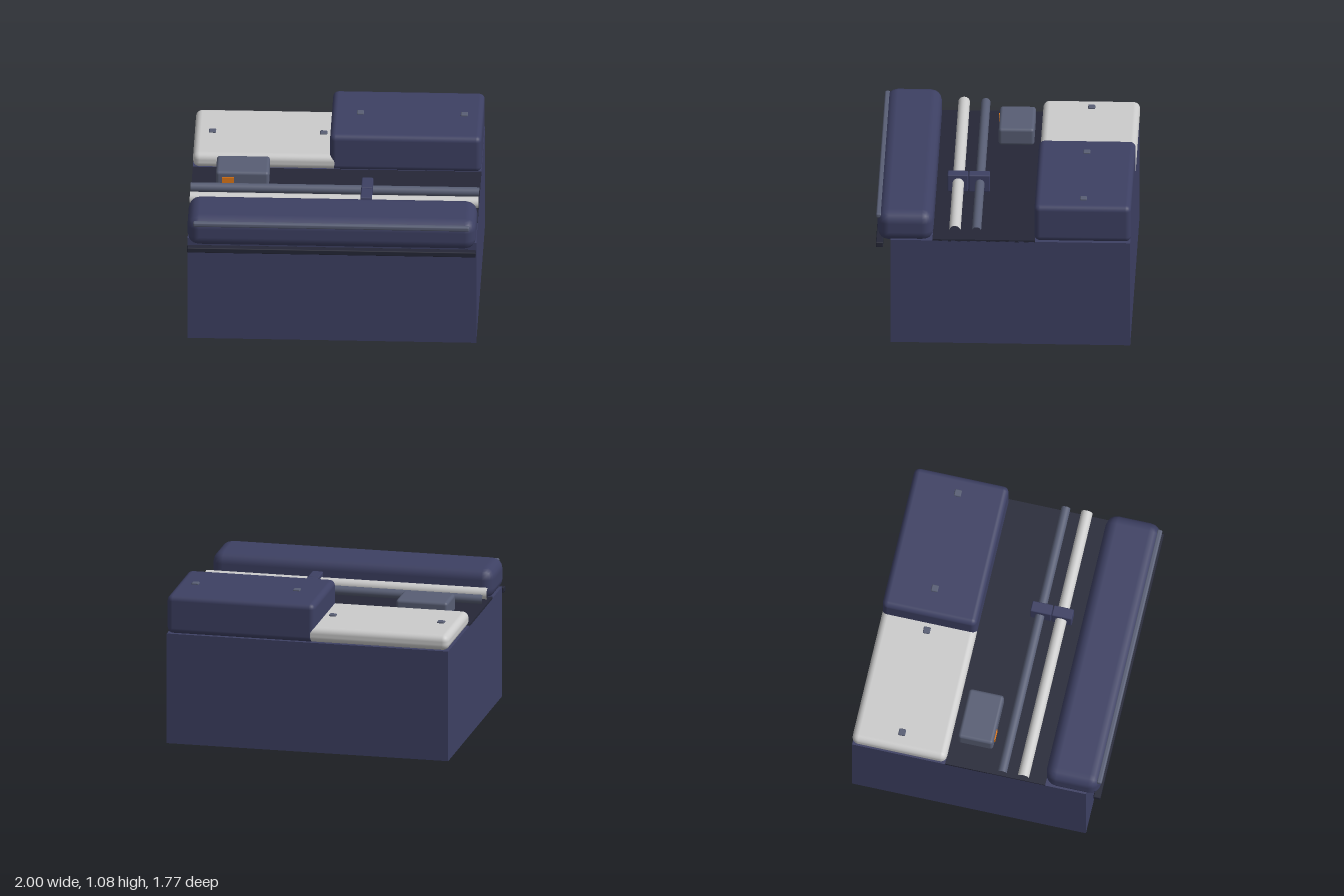
import * as THREE from 'three';
import { RoundedBoxGeometry } from 'three/addons/geometries/RoundedBoxGeometry.js';

const material = (color) => new THREE.MeshStandardMaterial({ color });

export function createModel() {
  const model = new THREE.Group();
  model.name = 'equipmentUnit';

  const navy = material(0x3d4063);
  const dark = material(0x252737);
  const slate = material(0x585e74);
  const grey = material(0xcccccc);
  const orange = material(0xe07818);

  const add = (name, geometry, mat, x, y, z) => {
    const mesh = new THREE.Mesh(geometry, mat);
    mesh.name = name;
    mesh.position.set(x, y, z);
    model.add(mesh);
    return mesh;
  };

  // Box given by its limits on each axis; a radius rounds its edges
  const block = (name, mat, [x0, x1], [y0, y1], [z0, z1], radius = 0, segments = 3) => {
    const size = [x1 - x0, y1 - y0, z1 - z0];
    const geometry = radius
      ? new RoundedBoxGeometry(...size, segments, radius)
      : new THREE.BoxGeometry(...size);
    return add(name, geometry, mat, (x0 + x1) / 2, (y0 + y1) / 2, (z0 + z1) / 2);
  };

  // Main body and the dark deck on top of it
  block('body', navy, [-1, 1], [0, 0.79], [-0.88, 0.78]);
  block('deck', dark, [-1, 1], [0.785, 0.8], [-0.22, 0.49]);

  // Padded front bar with its trim strip and the rail below
  block('frontBar', navy, [-1, 1], [0.765, 0.99], [0.485, 0.872], 0.08, 2);
  block('trimStrip', slate, [-0.96, 0.955], [0.932, 0.967], [0.845, 0.882], 0.012, 2);
  block('frontRail', dark, [-1, 1], [0.73, 0.768], [0.832, 0.882], 0.006, 1);

  // Rear covers: a low grey one and a tall navy one
  block('lowCover', grey, [-1, 0.02], [0.79, 0.9], [-0.885, -0.215], 0.045);
  block('tallCover', navy, [-0.05, 1], [0.79, 1.065], [-0.885, -0.215], 0.04);

  // Small latches on the covers
  for (const [x, top] of [[-0.875, 0.9], [-0.105, 0.9], [0.15, 1.065], [0.87, 1.065]]) {
    block('latch', slate, [x - 0.025, x + 0.025], [top - 0.015, top + 0.011], [-0.577, -0.528], 0.007, 1);
  }

  // Control box with an orange indicator on its front
  block('controlBox', slate, [-0.83, -0.462], [0.8, 0.928], [-0.168, 0.08], 0.022);
  block('indicator', orange, [-0.785, -0.705], [0.845, 0.89], [0.07, 0.086]);

  // Two open pipes across the deck, each held by a clamp
  const pipes = [
    { radius: 0.032, z: 0.185, mat: slate, clamp: [0.116, 0.263] },
    { radius: 0.04, z: 0.335, mat: grey, clamp: [0.267, 0.41] },
  ];
  for (const { radius, z, mat, clamp } of pipes) {
    const tube = new THREE.CylinderGeometry(radius, radius, 2, 24, 1, true).rotateZ(Math.PI / 2);
    add('pipe', tube, mat, 0, 0.865, z);
    block('pipeClamp', navy, [0.184, 0.263], [0.8, 0.928], clamp, 0.008, 1);
  }

  return model;
}
